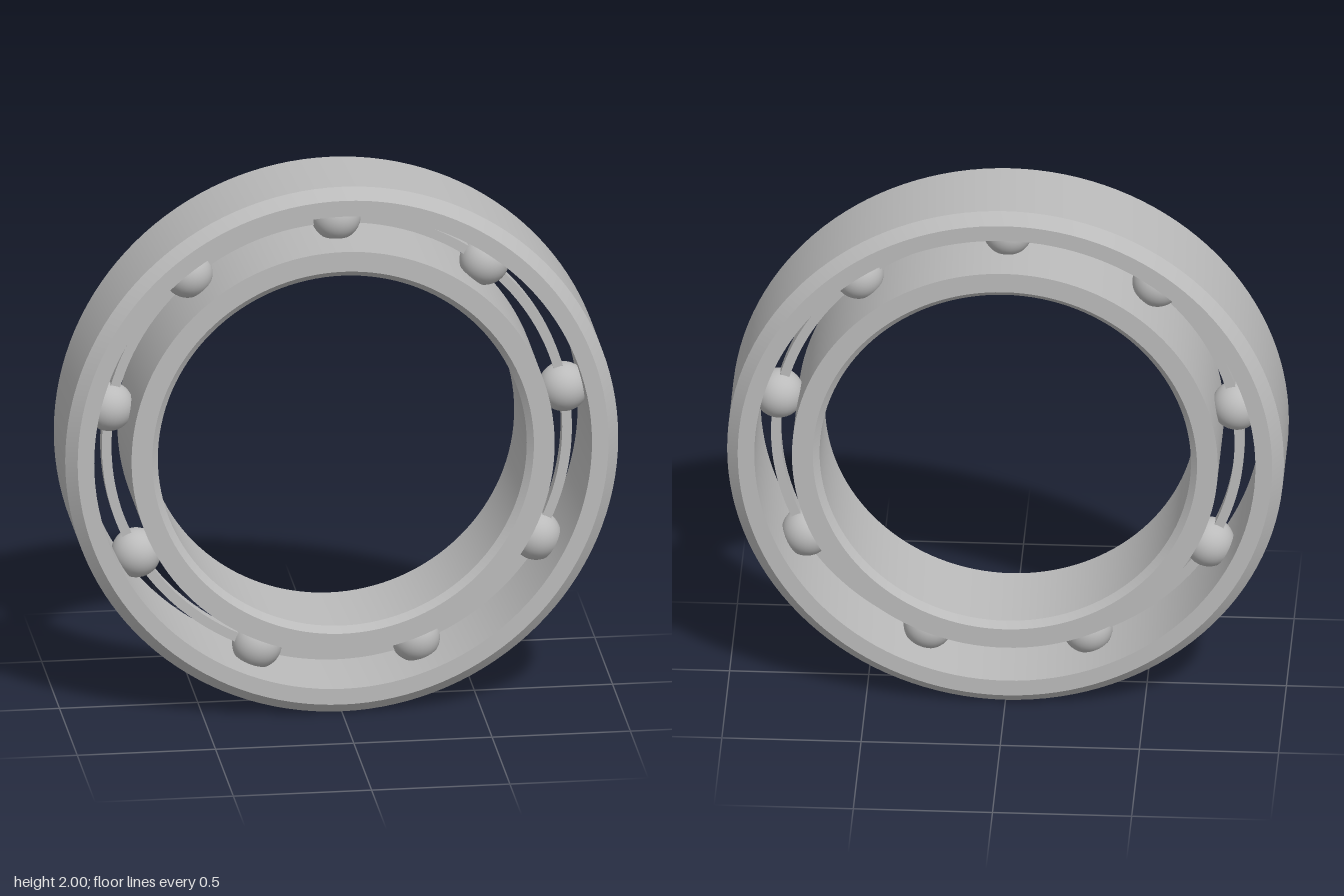
import * as THREE from 'three';
import { toCreasedNormals } from 'three/addons/utils/BufferGeometryUtils.js';

const BALLS = 9;
const PITCH = 0.835; // radius of the circle of balls

export function createModel() {
  const steel = new THREE.MeshStandardMaterial({ color: 0xbbbbbb });
  steel.name = 'steel';

  const bearing = new THREE.Group();
  bearing.name = 'bearing';
  bearing.position.y = 1;

  // Ring turned around z from a closed counter-clockwise (radius, z) profile
  function addRing(name, profile) {
    const points = [...profile, profile[0]].map(([r, z]) => new THREE.Vector2(r, z));
    const turned = new THREE.LatheGeometry(points, 128).rotateX(Math.PI / 2);
    const mesh = new THREE.Mesh(toCreasedNormals(turned, Math.PI / 6), steel);
    mesh.name = name;
    bearing.add(mesh);
  }

  // Outer ring, chamfered on its rim
  addRing('outerRing', [
    [0.9, -0.2], [0.96, -0.2], [1, -0.16], [1, 0.16], [0.96, 0.2], [0.9, 0.2],
  ]);

  // Inner ring, chamfered at its bore
  addRing('innerRing', [
    [0.69, -0.2], [0.765, -0.2], [0.765, 0.2], [0.69, 0.2], [0.667, 0.177], [0.667, -0.177],
  ]);

  // Thin cage joining the balls
  addRing('cage', [
    [0.815, -0.025], [0.85, -0.025], [0.85, 0.025], [0.815, 0.025],
  ]);

  // Balls evenly spaced, first one at the top
  const ballGeometry = new THREE.SphereGeometry(0.09, 32, 20);
  for (let i = 0; i < BALLS; i++) {
    const angle = (i / BALLS) * Math.PI * 2;
    const ball = new THREE.Mesh(ballGeometry, steel);
    ball.name = `ball${i + 1}`;
    ball.position.set(Math.sin(angle) * PITCH, Math.cos(angle) * PITCH, 0);
    bearing.add(ball);
  }

  const model = new THREE.Group();
  model.name = 'ballBearing';
  model.add(bearing);
  return model;
}
